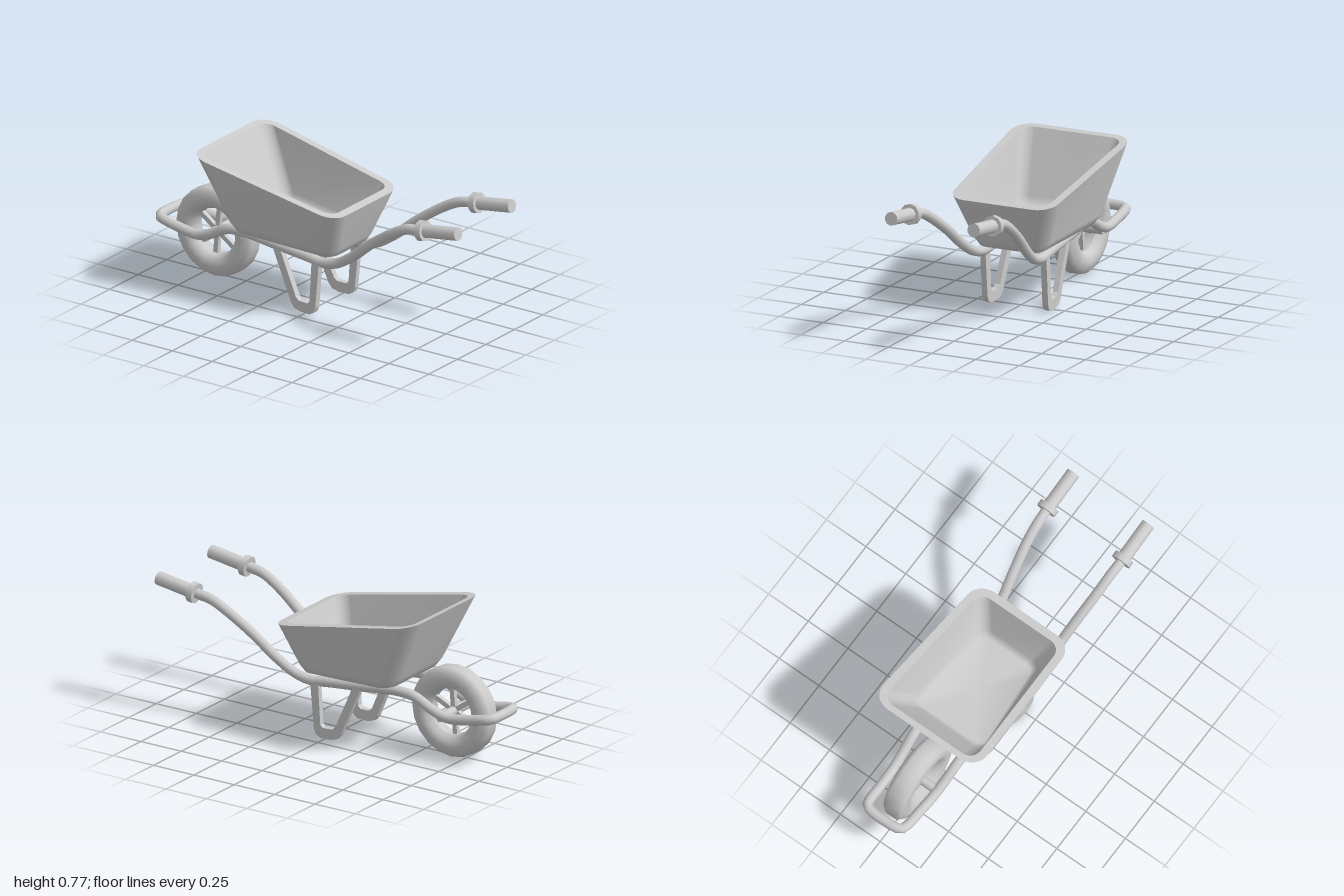
import * as THREE from 'three';
import { mergeGeometries } from 'three/addons/utils/BufferGeometryUtils.js';

const V = (x, y, z) => new THREE.Vector3(x, y, z);
const material = new THREE.MeshStandardMaterial({ color: 0xcccccc });

function add(parent, name, geometry) {
  const mesh = new THREE.Mesh(geometry, material);
  mesh.name = name;
  parent.add(mesh);
  return mesh;
}

// Cylinder running between two points
function rod(a, b, radius, sides) {
  const dir = b.clone().sub(a);
  const g = new THREE.CylinderGeometry(radius, radius, dir.length(), sides);
  g.applyQuaternion(new THREE.Quaternion().setFromUnitVectors(V(0, 1, 0), dir.normalize()));
  const mid = a.clone().add(b).multiplyScalar(0.5);
  return g.translate(mid.x, mid.y, mid.z);
}

// Rounded, tapering ring: front/back z, y and half width, plus corner radius
function ring({ z, y, w, r }) {
  const points = [], steps = 6;
  const corners = [[1, 1], [-1, 1], [-1, -1], [1, -1]];
  corners.forEach(([sx, sz], c) => {
    const end = sz > 0 ? 0 : 1;
    for (let i = 0; i <= steps; i++) {
      const a = (c + i / steps) * Math.PI / 2;
      const px = sx * (w[end] - r) + r * Math.cos(a);
      const pz = z[end] - sz * r + r * Math.sin(a);
      const t = z[0] === z[1] ? 0 : (z[0] - pz) / (z[0] - z[1]);
      points.push(px, y[0] + (y[1] - y[0]) * t, pz);
    }
  });
  return points;
}

// Smooth skin over a series of rings
function loft(levels) {
  const rings = levels.map(ring), n = rings[0].length / 3, index = [];
  for (let k = 0; k < rings.length - 1; k++) {
    for (let i = 0; i < n; i++) {
      const j = (i + 1) % n, a = k * n + i, b = k * n + j;
      index.push(a, a + n, b, b, a + n, b + n);
    }
  }
  const g = new THREE.BufferGeometry();
  g.setAttribute('position', new THREE.Float32BufferAttribute(rings.flat(), 3));
  g.setIndex(index);
  g.computeVertexNormals();
  return g;
}

function makeTray() {
  const under = { z: [-0.13, -0.13], y: [0.341, 0.341], w: [0, 0], r: 0 };
  const base = { z: [0.11, -0.37], y: [0.322, 0.36], w: [0.14, 0.19], r: 0.05 };
  const bend = { z: [0.155, -0.43], y: [0.335, 0.378], w: [0.185, 0.235], r: 0.07 };
  const side = { z: [0.18, -0.465], y: [0.375, 0.425], w: [0.215, 0.26], r: 0.09 };
  const rim = { z: [0.26, -0.625], y: [0.6, 0.775], w: [0.298, 0.328], r: 0.1 };
  const lip = { z: [0.215, -0.59], y: [0.609, 0.768], w: [0.255, 0.285], r: 0.065 };
  const well = { z: [0.14, -0.43], y: [0.4, 0.45], w: [0.185, 0.23], r: 0.06 };
  const floor = { z: [0.11, -0.4], y: [0.365, 0.41], w: [0.16, 0.2], r: 0.045 };
  const middle = { z: [-0.145, -0.145], y: [0.387, 0.387], w: [0, 0], r: 0 };
  return mergeGeometries([
    loft([under, base, bend, side, rim]),
    loft([rim, lip]),
    loft([lip, well, floor, middle]),
  ]);
}

// One bent tube: handle, under the tray, around the wheel, and back
function makeFrame() {
  const half = [
    [0.235, 0.665, 0.85], [0.235, 0.649, 0.75], [0.232, 0.635, 0.67], [0.225, 0.585, 0.57],
    [0.206, 0.49, 0.43], [0.187, 0.385, 0.3], [0.173, 0.318, 0.19], [0.166, 0.297, 0.1],
    [0.16, 0.306, 0], [0.15, 0.324, -0.22], [0.142, 0.34, -0.41], [0.137, 0.33, -0.52],
    [0.132, 0.278, -0.625], [0.127, 0.25, -0.715], [0.122, 0.259, -0.82],
    [0.118, 0.28, -0.93], [0.107, 0.286, -0.963], [0.08, 0.288, -0.975],
  ];
  const left = half.map(p => V(...p));
  const right = half.map(([x, y, z]) => V(-x, y, z)).reverse();
  const path = new THREE.CatmullRomCurve3([...left, ...right]);
  return new THREE.TubeGeometry(path, 140, 0.027, 10);
}

// Flat V-shaped leg drawn in side view as [-z, y]
function makeLeg() {
  const outline = [
    [-0.09, 0.3], [-0.067, 0.045], [-0.055, 0.018], [-0.03, 0.004], [0.03, 0.004],
    [0.07, 0.015], [0.092, 0.042], [0.215, 0.322], [0.165, 0.318], [0.06, 0.078],
    [0.04, 0.062], [-0.015, 0.06], [-0.029, 0.075], [-0.043, 0.3],
  ];
  const shape = new THREE.Shape(outline.map(p => new THREE.Vector2(...p)));
  const g = new THREE.ExtrudeGeometry(shape, { depth: 0.032, bevelEnabled: false });
  return g.translate(0, 0, -0.016).rotateY(Math.PI / 2);
}

function makeWheel() {
  const wheel = new THREE.Group();
  wheel.name = 'wheel';
  // Tyre: closed profile turned around the axle
  const profile = [
    [0.125, -0.025], [0.145, -0.056], [0.182, -0.067], [0.222, -0.055], [0.241, -0.032],
    [0.241, 0.032], [0.222, 0.055], [0.182, 0.067], [0.145, 0.056], [0.125, 0.025], [0.125, -0.025],
  ].map(p => new THREE.Vector2(...p));
  add(wheel, 'tyre', new THREE.LatheGeometry(profile, 20).rotateZ(Math.PI / 2));
  // Spokes
  for (let i = 0; i < 6; i++) {
    const spoke = new THREE.BoxGeometry(0.025, 0.13, 0.026).translate(0, 0.07, 0);
    add(wheel, 'spoke', spoke.rotateX(i * Math.PI / 3 + 0.09));
  }
  add(wheel, 'axle', rod(V(-0.13, 0, 0), V(0.13, 0, 0), 0.025, 12));
  wheel.position.set(0, 0.245, -0.675);
  return wheel;
}

export function createModel() {
  const model = new THREE.Group();
  model.name = 'wheelbarrow';
  add(model, 'tray', makeTray());
  add(model, 'frame', makeFrame());
  model.add(makeWheel());

  for (const s of [1, -1]) {
    const side = s > 0 ? 'left' : 'right';
    // Grip with its collar
    const x = 0.236 * s;
    add(model, side + 'Grip', rod(V(x, 0.652, 0.77), V(x, 0.685, 0.995), 0.036, 10));
    add(model, side + 'Collar', rod(V(x, 0.65, 0.757), V(x, 0.655, 0.791), 0.055, 10));
    // Leg, following the taper of the frame
    const leg = add(model, side + 'Leg', makeLeg());
    leg.position.x = 0.169 * s;
    leg.rotation.y = 0.055 * s;
  }
  return model;
}
